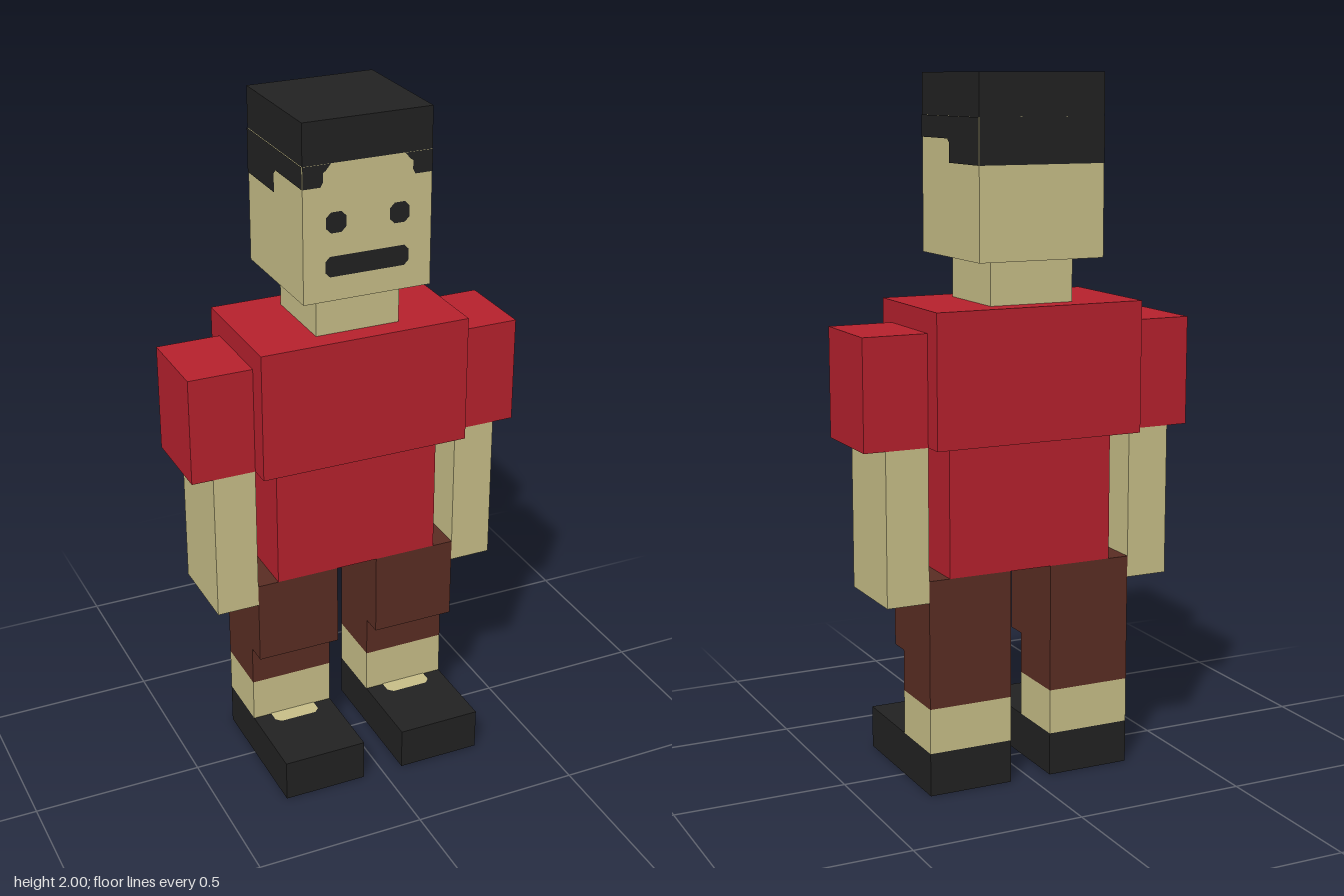
import * as THREE from 'three';

const material = (name, color) => {
  const m = new THREE.MeshStandardMaterial({ color });
  m.name = name;
  return m;
};

export function createModel() {
  const skin = material('skin', 0xc8bf88);
  const red = material('red shirt', 0xb7212d);
  const brown = material('brown shorts', 0x5a2d23);
  const black = material('black', 0x222222);
  const model = new THREE.Group();
  model.name = 'blockFigure';

  // Box given by its extents along each axis
  function box(name, mat, [x0, x1], [y0, y1], [z0, z1]) {
    const mesh = new THREE.Mesh(new THREE.BoxGeometry(x1 - x0, y1 - y0, z1 - z0), mat);
    mesh.position.set((x0 + x1) / 2, (y0 + y1) / 2, (z0 + z1) / 2);
    mesh.name = name;
    model.add(mesh);
    return mesh;
  }

  // Flat painted face from an outline in its own plane
  function paint(name, mat, points) {
    const shape = new THREE.Shape(points.map(([x, y]) => new THREE.Vector2(x, y)));
    const mesh = new THREE.Mesh(new THREE.ShapeGeometry(shape), mat);
    mesh.name = name;
    model.add(mesh);
    return mesh;
  }

  // Rectangle with clipped corners
  const clipped = (w, h, c) => [
    [-w + c, -h], [w - c, -h], [w, -h + c], [w, h - c],
    [w - c, h], [-w + c, h], [-w, h - c], [-w, -h + c],
  ];

  const wide = [-0.25, 0.125];      // depth of head and chest
  const narrow = [-0.1875, 0.0625]; // depth of neck, waist, arms, thighs
  const gap = 0.002;
  const hairline = 1.883;

  // Head, neck and torso
  box('head', skin, [-0.1875, 0.1875], [1.5, hairline], wide);
  box('hairTop', black, [-0.1875, 0.1875], [hairline, 2], wide);
  box('neck', skin, [-0.125, 0.125], [1.375, 1.5], narrow);
  box('chest', red, [-0.3125, 0.3125], [1, 1.375], wide);
  box('waist', red, [-0.25, 0.25], [0.625, 1], narrow);

  // Hair on the back of the head
  const back = paint('hairBack', black, [
    [-0.1875, 1.757], [0.1875, 1.757], [0.1875, hairline], [-0.1875, hairline],
  ]);
  back.rotation.y = Math.PI;
  back.position.z = wide[0] - gap;

  // Mouth
  paint('mouth', black, clipped(0.122, 0.029, 0.013)).position.set(-0.002, 1.598, wide[1] + gap);

  for (const s of [1, -1]) {
    const side = s > 0 ? 'left' : 'right';
    const span = (a, b) => (s > 0 ? [a, b] : [-b, -a]);

    // Front hair corner, stepped up to the hairline
    paint(side + 'Fringe', black, [
      [0.1875, 1.822], [0.137, 1.822], [0.13, 1.835], [0.13, 1.86],
      [0.122, 1.865], [0.107, hairline], [0.1875, hairline],
    ].map(([x, y]) => [x * s, y])).position.z = wide[1] + gap;

    // Side hair, lower towards the back; outline runs along z
    const hair = paint(side + 'SideHair', black, [
      [0.125, 1.822], [-0.05, 1.822], [-0.0625, 1.81], [-0.0625, 1.757],
      [-0.25, 1.757], [-0.25, hairline], [0.125, hairline],
    ].map(([z, y]) => [-z * s, y]));
    hair.rotation.y = s * Math.PI / 2;
    hair.position.x = s * (0.1875 + gap);

    // Eye
    paint(side + 'Eye', black, clipped(0.029, 0.029, 0.014)).position.set(s * 0.0925, 1.721, wide[1] + gap);

    // Arm
    box(side + 'Sleeve', red, span(0.3125, 0.5), [1, 1.3125], narrow);
    box(side + 'Arm', skin, span(0.3125, 0.4375), [0.5625, 1], narrow);

    // Leg
    const legX = span(0.0625, 0.3125);
    box(side + 'Thigh', brown, legX, [0.375, 0.625], narrow);
    box(side + 'ShortsHem', brown, legX, [0.255, 0.375], [-0.1875, 0]);
    box(side + 'Shin', skin, legX, [0.125, 0.255], [-0.1875, 0]);
    box(side + 'Shoe', black, legX, [0, 0.125], [-0.1875, 0.25]);

    // Bare skin at the shoe opening
    const instep = paint(side + 'Instep', skin, [
      [-0.07, 0], [-0.07, -0.035], [-0.055, -0.05], [0.055, -0.05], [0.07, -0.035], [0.07, 0],
    ]);
    instep.rotation.x = -Math.PI / 2;
    instep.position.set(s * 0.1875, 0.125 + gap, 0);
  }

  return model;
}
